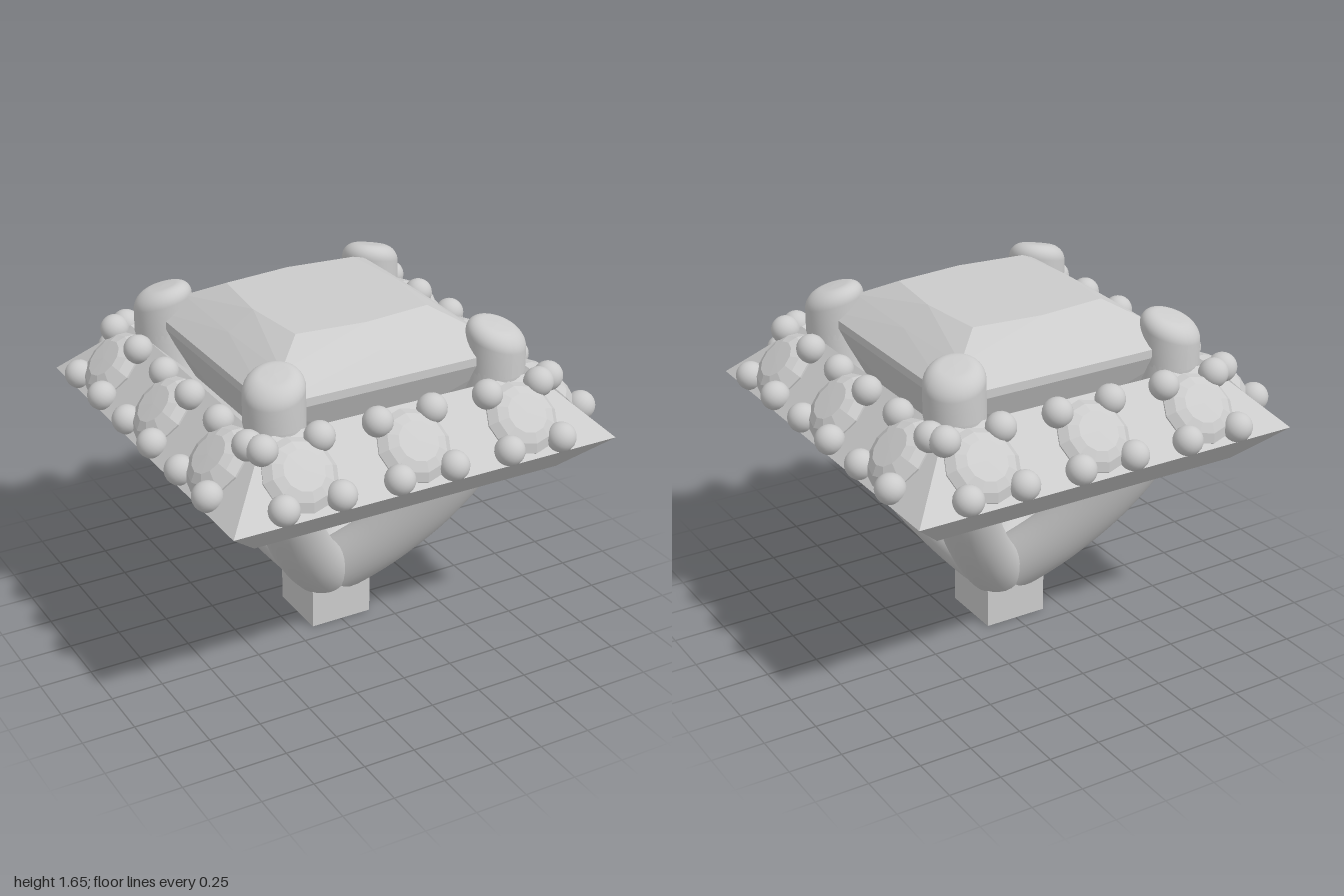
import * as THREE from 'three';
import { ConvexGeometry } from 'three/addons/geometries/ConvexGeometry.js';

const smooth = new THREE.MeshStandardMaterial({ color: 0xcccccc, side: THREE.DoubleSide });
const faceted = new THREE.MeshStandardMaterial({ color: 0xcccccc, flatShading: true });
const V2 = (x, y) => new THREE.Vector2(x, y);

function add(parent, name, geometry, material, x = 0, y = 0, z = 0) {
  const mesh = new THREE.Mesh(geometry, material);
  mesh.name = name;
  mesh.position.set(x, y, z);
  parent.add(mesh);
  return mesh;
}

// Centres of the small stones along one side of the frame
const STONES = [-0.578, -0.022, 0.537];
const HOLE = 0.08;

// One mitred face of the frame, from section point a to b (each [distance out, height])
function frameFace(a, b, drilled) {
  const dir = new THREE.Vector3(0, b[1] - a[1], b[0] - a[0]);
  const length = dir.length();
  dir.normalize();
  const shape = new THREE.Shape([V2(-a[0], 0), V2(a[0], 0), V2(b[0], length), V2(-b[0], length)]);
  if (drilled) {
    for (const x of STONES) {
      shape.holes.push(new THREE.Path().absarc(x, length / 2, HOLE, 0, Math.PI * 2, true));
    }
  }
  const along = new THREE.Vector3(1, 0, 0);
  const matrix = new THREE.Matrix4().makeBasis(along, dir, along.clone().cross(dir));
  matrix.setPosition(0, a[1], a[0]);
  return new THREE.ShapeGeometry(shape, 8).applyMatrix4(matrix);
}

// Small faceted stone with four beads, its axis along local y
function stoneSetting() {
  const g = new THREE.Group();
  g.name = 'stoneSetting';
  const profile = [V2(0, -0.15), V2(0.17, -0.02), V2(0.175, 0.008), V2(0.14, 0.042), V2(0.095, 0.062), V2(0, 0.064)];
  add(g, 'smallStone', new THREE.LatheGeometry(profile, 12), faceted);
  const bead = new THREE.SphereGeometry(0.069, 20, 14);
  for (const x of [-1, 1]) {
    for (const z of [-1, 1]) add(g, 'bead', bead, smooth, x * 0.136, 0.03, z * 0.136);
  }
  const bore = new THREE.CylinderGeometry(HOLE, HOLE, 0.26, 24, 1, true);
  add(g, 'drilledHole', bore, smooth, 0, -0.13, 0);
  return g;
}

// Side of the square frame: a tilted rectangular section carrying three stones
function frameSide() {
  const side = new THREE.Group();
  side.name = 'frameSide';
  const section = [[0.96, 1.107], [0.68, 1.38], [0.495, 1.2], [0.775, 0.925]];
  const names = ['frameTop', 'frameInnerLip', 'frameUnderside', 'frameBevel'];
  section.forEach((a, i) => {
    add(side, names[i], frameFace(a, section[(i + 1) % 4], i === 2), faceted);
  });
  for (const x of STONES) {
    const s = stoneSetting();
    s.position.set(x, 1.245, 0.82);
    s.rotation.x = Math.PI / 4;
    side.add(s);
  }
  return side;
}

// Large square-cut stone from stacked eight-point rings: [corner, middle, height]
function mainStone() {
  const points = [new THREE.Vector3(0, 0.74, 0)];
  const rings = [
    [0.335, 0.37, 1.65], [0.485, 0.495, 1.565], [0.605, 0.605, 1.475],
    [0.605, 0.605, 1.435], [0.46, 0.48, 1.16], [0.21, 0.25, 0.925],
  ];
  for (const [c, m, y] of rings) {
    for (const s of [-1, 1]) {
      points.push(new THREE.Vector3(s * c, y, c), new THREE.Vector3(s * c, y, -c));
      points.push(new THREE.Vector3(s * m, y, 0), new THREE.Vector3(0, y, s * m));
    }
  }
  return new ConvexGeometry(points);
}

// Curved corner leg running from the foot to the upright prong
function legGeometry() {
  const path = new THREE.CatmullRomCurve3(
    [[0.0, 0.2], [0.1, 0.305], [0.22, 0.455], [0.37, 0.69], [0.485, 0.94], [0.545, 1.18], [0.56, 1.4]]
      .map(([d, y]) => new THREE.Vector3(d, y, d)));
  return new THREE.TubeGeometry(path, 48, 0.137, 28);
}

// Rounded prong tip, its crown sloping down to the outer corner
function prongGeometry() {
  const r = 0.137, e = 0.075, profile = [V2(r, 1.38), V2(r, 1.43)];
  for (let i = 0; i <= 8; i++) {
    const t = (i / 8) * Math.PI / 2;
    profile.push(V2(r - e + e * Math.cos(t), 1.525 + e * Math.sin(t)));
  }
  profile.push(V2(0, 1.602));
  const geo = new THREE.LatheGeometry(profile, 32);
  const p = geo.attributes.position;
  for (let i = 0; i < p.count; i++) {
    if (p.getY(i) > 1.44) p.setY(i, p.getY(i) - 0.2 * (p.getX(i) + p.getZ(i)));
  }
  geo.computeVertexNormals();
  return geo;
}

export function createModel() {
  const model = new THREE.Group();
  model.name = 'stoneSettingHead';

  add(model, 'foot', new THREE.BoxGeometry(0.315, 0.193, 0.315), faceted, 0, 0.0965, 0);
  add(model, 'mainStone', mainStone(), faceted);

  // Four identical quarters around the vertical axis
  const leg = legGeometry(), prong = prongGeometry();
  for (let i = 0; i < 4; i++) {
    const quarter = new THREE.Group();
    quarter.name = 'quarter';
    quarter.rotation.y = i * Math.PI / 2;
    quarter.add(frameSide());
    add(quarter, 'leg', leg, smooth);
    add(quarter, 'prong', prong, smooth, 0.56, 0, 0.56);
    model.add(quarter);
  }
  return model;
}
